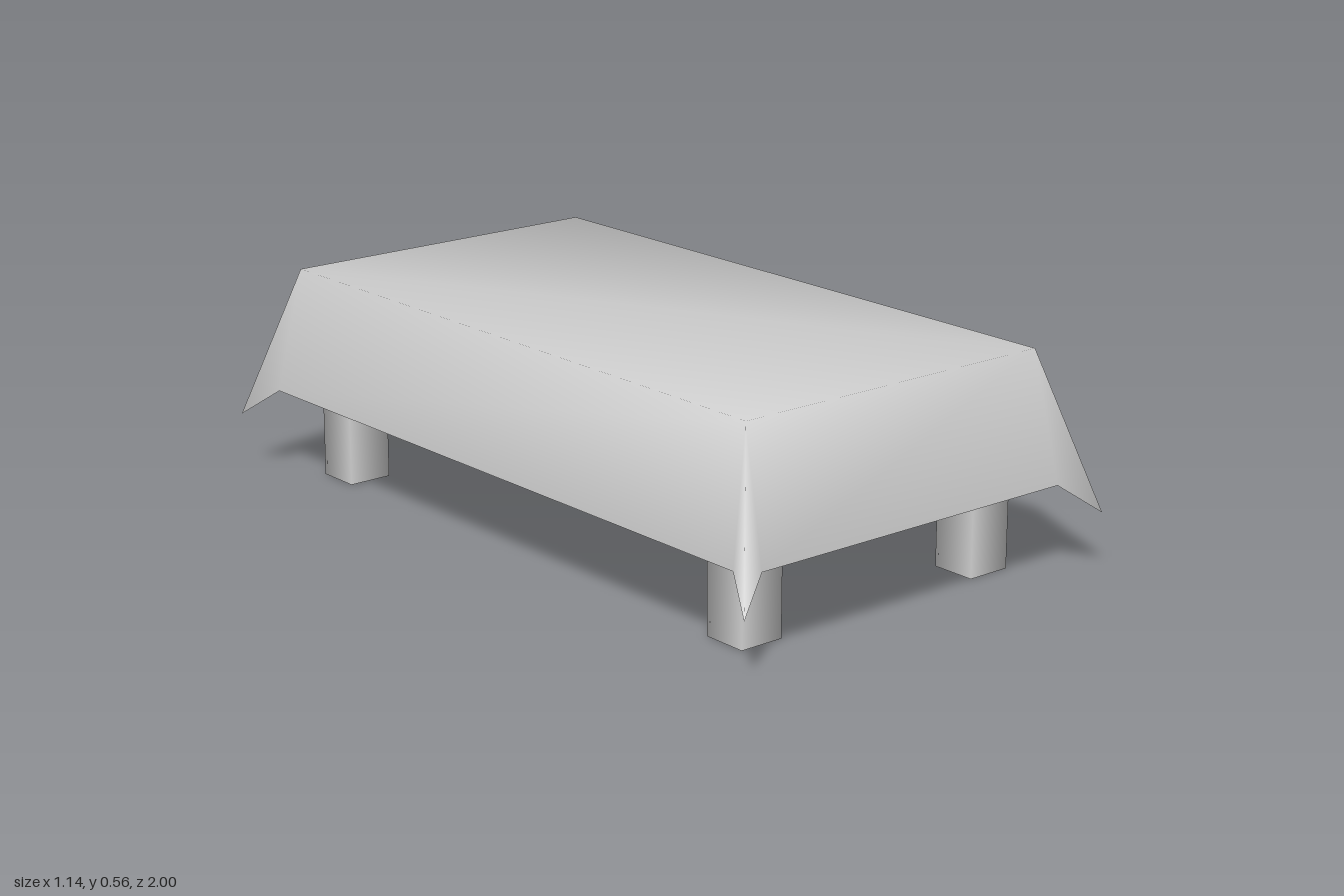
import * as THREE from 'three';

// Draped cloth: flat top, four sloping walls and a flared point at each corner.
function clothGeometry() {
  const corners = [[1, 1], [1, -1], [-1, -1], [-1, 1]];
  const points = [];
  const faces = [];
  corners.forEach(([sx, sz], k) => {
    const endHem = [sx * 0.47, 0.23, sz * 0.945];
    const sideHem = [sx * 0.515, 0.23, sz * 0.9];
    const [before, after] = k % 2 ? [sideHem, endHem] : [endHem, sideHem];
    points.push(
      [sx * 0.455, 0.555, sz * 0.87], // top corner
      before, // hem end of the previous wall
      [sx * 0.57, 0.155, sz * 1.0], // hanging point
      after // hem start of the next wall
    );
    const a = k * 4;
    const b = ((k + 1) % 4) * 4;
    faces.push(a, a + 1, a + 2, a, a + 2, a + 3); // corner fold
    faces.push(a + 3, b + 1, b, a + 3, b, a); // wall
  });
  faces.push(0, 4, 8, 0, 8, 12); // top

  const geometry = new THREE.BufferGeometry();
  geometry.setAttribute('position', new THREE.Float32BufferAttribute(points.flat(), 3));
  geometry.setIndex(faces);
  geometry.computeVertexNormals();
  return geometry;
}

export function createModel() {
  const group = new THREE.Group();
  group.name = 'tableWithCloth';
  const grey = new THREE.MeshStandardMaterial({ color: 0xcccccc, side: THREE.DoubleSide });
  grey.name = 'light grey';

  const cloth = new THREE.Mesh(clothGeometry(), grey);
  cloth.name = 'tablecloth';
  group.add(cloth);

  // Square open tubes with softly shaded corners
  const legHeight = 0.41;
  const radius = 0.06 * Math.SQRT2;
  const legGeometry = new THREE.CylinderGeometry(radius, radius, legHeight, 4, 1, true);
  legGeometry.rotateY(Math.PI / 4);
  for (const sx of [1, -1]) {
    for (const sz of [1, -1]) {
      const leg = new THREE.Mesh(legGeometry, grey);
      leg.name = (sz > 0 ? 'front' : 'back') + (sx > 0 ? 'Left' : 'Right') + 'Leg';
      leg.position.set(sx * 0.365, legHeight / 2, sz * 0.77);
      group.add(leg);
    }
  }
  return group;
}
